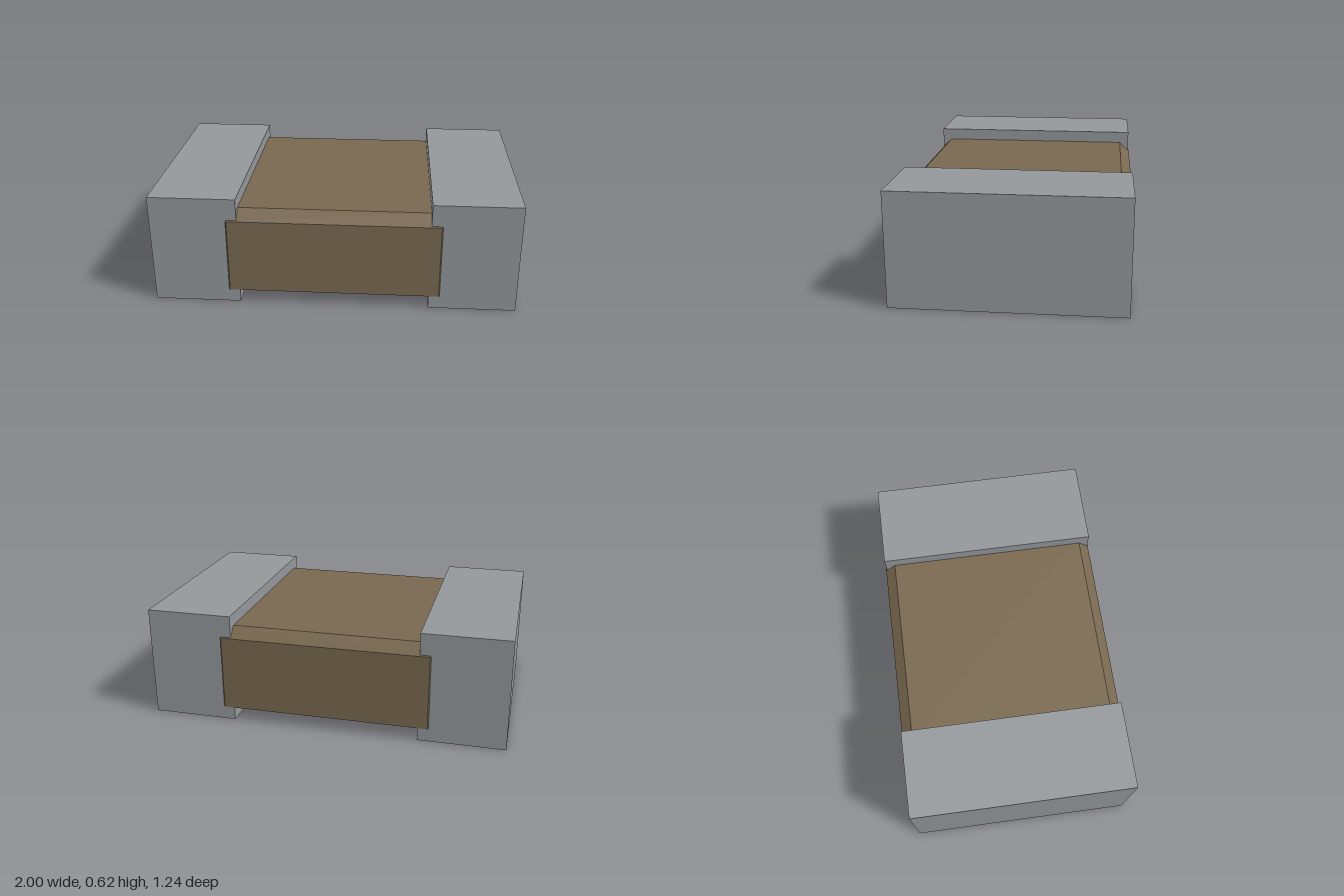
import * as THREE from 'three';
import { ConvexGeometry } from 'three/addons/geometries/ConvexGeometry.js';

export function createModel() {
  const model = new THREE.Group();
  const metal = new THREE.MeshStandardMaterial({ color: 0x93979a });
  metal.name = 'grey metal';
  const ceramic = new THREE.MeshStandardMaterial({ color: 0x796850 });
  ceramic.name = 'brown ceramic';

  // Ceramic block: bevelled vertical corners and top edges, flat underside
  const halfX = 0.577, halfZ = 0.622, bevel = 0.06;
  const bottom = 0.075, shoulder = 0.493, top = 0.552;
  const points = [];
  for (const sx of [-1, 1]) {
    for (const sz of [-1, 1]) {
      for (const y of [bottom, shoulder]) {
        points.push(new THREE.Vector3(sx * halfX, y, sz * halfZ));
        points.push(new THREE.Vector3(sx * (halfX + bevel), y, sz * (halfZ - bevel)));
      }
      points.push(new THREE.Vector3(sx * halfX, top, sz * (halfZ - bevel)));
    }
  }
  const body = new THREE.Mesh(new ConvexGeometry(points), ceramic);
  body.name = 'ceramicBody';
  model.add(body);

  // End terminals
  const width = 0.478, height = 0.62, depth = 1.232;
  for (const [name, side] of [['leftTerminal', 1], ['rightTerminal', -1]]) {
    const terminal = new THREE.Mesh(new THREE.BoxGeometry(width, height, depth), metal);
    terminal.name = name;
    terminal.position.set(side * (1 - width / 2), height / 2, 0);
    model.add(terminal);
  }
  return model;
}
